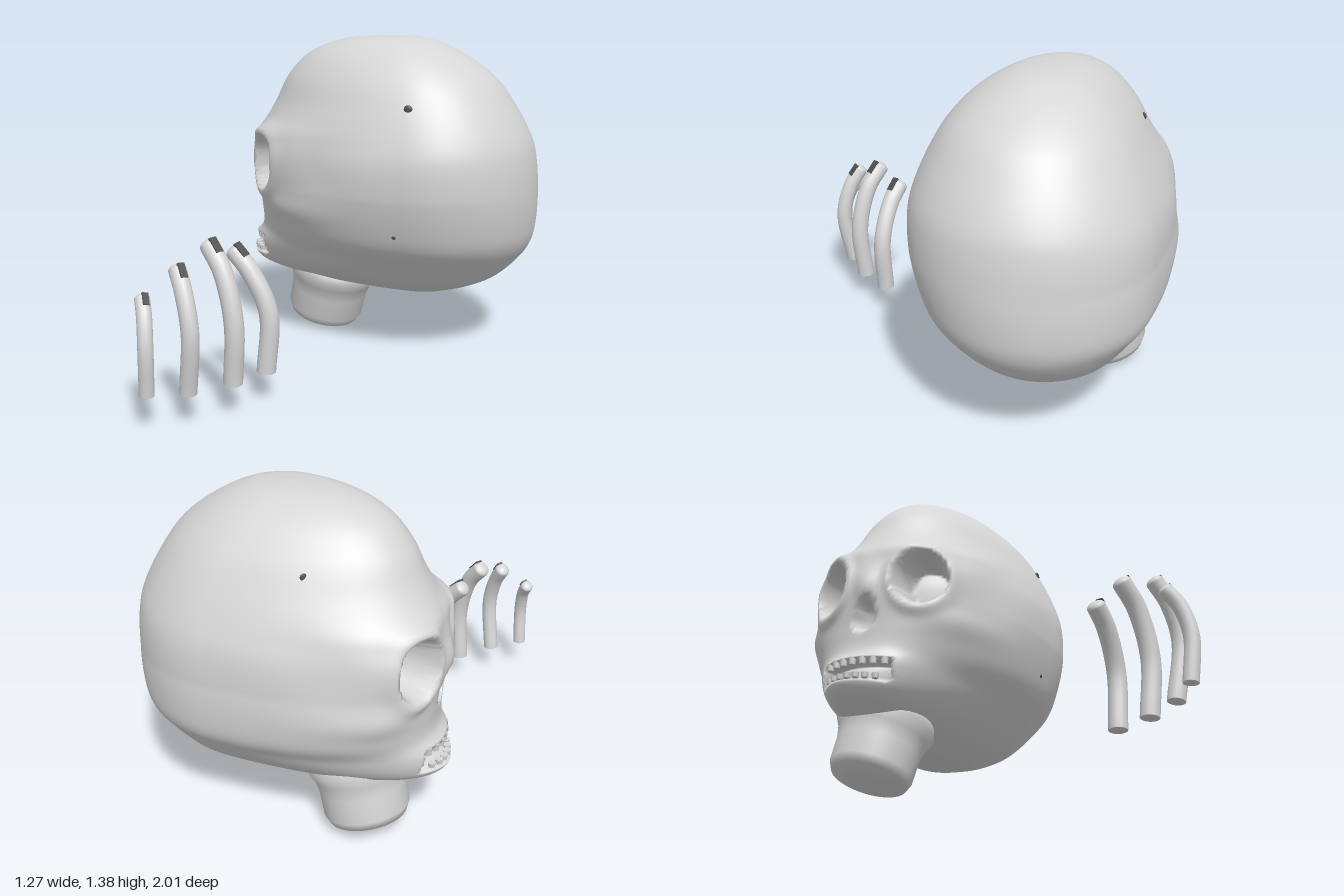
import * as THREE from 'three';

// skull sections from base to crown: height, half width, z of widest point, front z, back z, front squareness
const SECTIONS = [
  [0.222, 0, -0.36, -0.36, -0.36, 2],
  [0.228, 0.1, -0.36, -0.15, -0.46, 2],
  [0.25, 0.17, -0.36, 0.1, -0.54, 2],
  [0.28, 0.225, -0.38, 0.31, -0.63, 2],
  [0.33, 0.29, -0.4, 0.435, -0.72, 2],
  [0.42, 0.37, -0.4, 0.45, -0.81, 2],
  [0.5, 0.43, -0.4, 0.395, -0.855, 2.15],
  [0.6, 0.458, -0.4, 0.39, -0.872, 2.25],
  [0.72, 0.472, -0.4, 0.4, -0.875, 2.3],
  [0.85, 0.47, -0.4, 0.4, -0.865, 2.4],
  [0.95, 0.445, -0.4, 0.38, -0.84, 2.2],
  [1.08, 0.39, -0.38, 0.31, -0.77, 2],
  [1.2, 0.32, -0.35, 0.245, -0.68, 2],
  [1.3, 0.225, -0.3, 0.14, -0.54, 2],
  [1.36, 0.115, -0.25, -0.03, -0.4, 2],
  [1.375, 0, -0.24, -0.24, -0.24, 2],
];
const sections = new THREE.CubicInterpolant(SECTIONS.map((s, i) => i), SECTIONS.flat(), 6);
const step = THREE.MathUtils.smoothstep;
const blob = (dx, dy, rx, ry) => Math.exp(-((dx / rx) ** 2) - (dy / ry) ** 2);

// plain skull surface: u runs up the sections, t runs round from the left side to the front
function surface(u, t) {
  const [y, w, zm, zf, zb, n] = sections.evaluate(u);
  const c = Math.cos(t), s = Math.sin(t);
  const e = s > 0 ? 2 / n : 1;
  return new THREE.Vector3(
    Math.max(w, 0) * Math.sign(c) * Math.abs(c) ** e, y,
    s > 0 ? zm + (zf - zm) * s ** e : zm + (zm - zb) * s);
}

// the head leans a little to its left and the face is turned slightly to that side
function lean(p) {
  p.z -= 0.15 * p.x * step(p.z, -0.4, 0.3);
  p.x += (p.y < 0.72 ? 0.14 : 0.05) * (p.y - 0.72);
  return p;
}

// sockets, nose opening, mouth, brow, cheekbones and temples
function carve(p) {
  const { x, y, z } = p, ax = Math.abs(x), side = Math.sign(x);
  const face = step(z, -0.35, 0.1);
  p.z += face * 0.025 * blob(ax - 0.2, y - 0.955, 0.16, 0.04);
  const cheek = face * (0.012 * blob(ax - 0.32, y - 0.63, 0.1, 0.06)
    - 0.008 * blob(ax - 0.3, y - 0.45, 0.12, 0.05) - 0.015 * blob(ax - 0.42, y - 0.85, 0.06, 0.12));
  p.x += side * cheek;
  p.z += cheek;
  if (z > 0.05) {
    const eye = Math.hypot((ax - 0.2) / 0.088, (y - 0.815) / 0.115);
    p.z += 0.018 * Math.exp(-(((eye - 1.25) / 0.22) ** 2));
    const socket = 1 - step(eye, 0.83, 1.06);
    p.z -= 0.17 * socket;
    p.x -= side * 0.035 * socket;
    p.z += 0.03 * blob(x, y - 0.78, 0.05, 0.08);
    const nose = Math.hypot(ax / (0.04 - 0.2 * (y - 0.66)), (y - 0.66) / 0.075);
    if (y < 0.75) p.z -= 0.07 * (1 - step(nose, 0.7, 1.05));
    const mouth = (1 - step(ax, 0.13, 0.15)) * (1 - step(Math.abs(y - 0.405), 0.034, 0.048));
    p.z -= 0.08 * mouth;
  }
  return p;
}

function skullGeometry() {
  const per = 9, rows = (SECTIONS.length - 1) * per, cols = 216;
  const pos = [], index = [];
  for (let i = 0; i <= rows; i++) {
    for (let j = 0; j < cols; j++) {
      pos.push(...lean(carve(surface(i / per, (j / cols) * Math.PI * 2))).toArray());
    }
  }
  for (let i = 0; i < rows; i++) {
    for (let j = 0; j < cols; j++) {
      const k = (j + 1) % cols;
      const a = i * cols + j, b = i * cols + k, c = a + cols, d = b + cols;
      index.push(a, c, b, b, c, d);
    }
  }
  const g = new THREE.BufferGeometry();
  g.setAttribute('position', new THREE.Float32BufferAttribute(pos, 3));
  g.setIndex(index);
  g.computeVertexNormals();
  return g;
}

export function createModel() {
  const bone = new THREE.MeshStandardMaterial({ color: 0xd6d6d6 });
  bone.name = 'bone grey';
  const dark = new THREE.MeshStandardMaterial({ color: 0x505050 });
  dark.name = 'dark grey';

  const model = new THREE.Group();
  model.name = 'skullAndFingers';
  const add = (parent, name, geometry, material) => {
    const m = new THREE.Mesh(geometry, material);
    m.name = name;
    parent.add(m);
    return m;
  };

  // skull, turned to its right
  const head = new THREE.Group();
  head.name = 'head';
  head.position.set(-0.189, 0, -0.341);
  head.rotation.y = -1.065;
  model.add(head);
  add(head, 'skull', skullGeometry(), bone);

  // teeth along both jaws
  for (const [u, len] of [[5.3, 0.03], [4.55, 0.02]]) {
    for (let i = -3; i <= 3; i++) {
      const p = lean(surface(u, Math.PI / 2 - i * 0.1));
      const tooth = add(head, 'tooth', new THREE.CylinderGeometry(0.016, 0.013, len, 10), bone);
      tooth.position.set(p.x, p.y, p.z - 0.022);
    }
  }

  // small flat holes in the skull
  for (const [u, t, r] of [[11.12, -0.05, 0.018], [11.6, Math.PI - 0.5, 0.014], [6.7, 0.045, 0.009]]) {
    const hole = add(head, 'smallHole', new THREE.SphereGeometry(r, 12, 8), dark);
    hole.position.copy(lean(carve(surface(u, t))));
    hole.rotation.y = Math.atan2(hole.position.x, hole.position.z + 0.38);
    hole.scale.z = 0.4;
  }

  // neck stump, its top hidden inside the skull base
  const profile = [[0, -0.035], [0.09, -0.03], [0.16, -0.005], [0.176, 0.03], [0.178, 0.13], [0.19, 0.19], [0.212, 0.235], [0.2, 0.29], [0.1, 0.34]]
    .map(([r, y]) => new THREE.Vector2(r, y));
  const neck = add(model, 'neck', new THREE.LatheGeometry(profile, 40), bone);
  neck.position.set(-0.365, 0.05, -0.39);
  neck.rotation.z = -0.27;

  // fingers: radius and path from base to tip
  const up = new THREE.Vector3(0, 1, 0);
  const FINGERS = [
    [0.029, [0.155, 0.13, 0.965], [0.168, 0.31, 0.972], [0.14, 0.42, 0.955], [0.1, 0.475, 0.935]],
    [0.034, [0.215, 0.12, 0.825], [0.25, 0.36, 0.835], [0.21, 0.5, 0.83], [0.16, 0.575, 0.82]],
    [0.038, [0.25, 0.12, 0.645], [0.267, 0.36, 0.65], [0.21, 0.55, 0.655], [0.14, 0.635, 0.66]],
    [0.038, [0.24, 0.12, 0.475], [0.25, 0.36, 0.47], [0.18, 0.52, 0.505], [0.12, 0.585, 0.525]],
  ];
  for (const [r, ...pts] of FINGERS) {
    const finger = new THREE.Group();
    finger.name = 'finger';
    model.add(finger);
    const path = new THREE.CatmullRomCurve3(pts.map((p) => new THREE.Vector3(...p)));
    add(finger, 'fingerBody', new THREE.TubeGeometry(path, 28, r, 16), bone);
    for (const [at, flat] of [[0, 0.1], [1, 0.6]]) {
      const cap = add(finger, at ? 'fingertip' : 'fingerBase', new THREE.SphereGeometry(r, 16, 10), bone);
      cap.position.copy(path.getPoint(at));
      cap.quaternion.setFromUnitVectors(up, path.getTangent(at));
      cap.scale.y = flat;
    }
    // nail on the outer side of the tip
    const dir = path.getTangent(0.94);
    const across = new THREE.Vector3(0, 0, 1).addScaledVector(dir, -dir.z).normalize();
    const out = new THREE.Vector3().crossVectors(dir, across).normalize();
    const nail = add(finger, 'nail', new THREE.BoxGeometry(r * 0.85, 0.008, r * 1.7), dark);
    nail.quaternion.setFromRotationMatrix(new THREE.Matrix4().makeBasis(across, out, new THREE.Vector3().crossVectors(across, out)));
    nail.position.copy(path.getPoint(0.94)).addScaledVector(out, r * 0.92);
  }
  return model;
}
